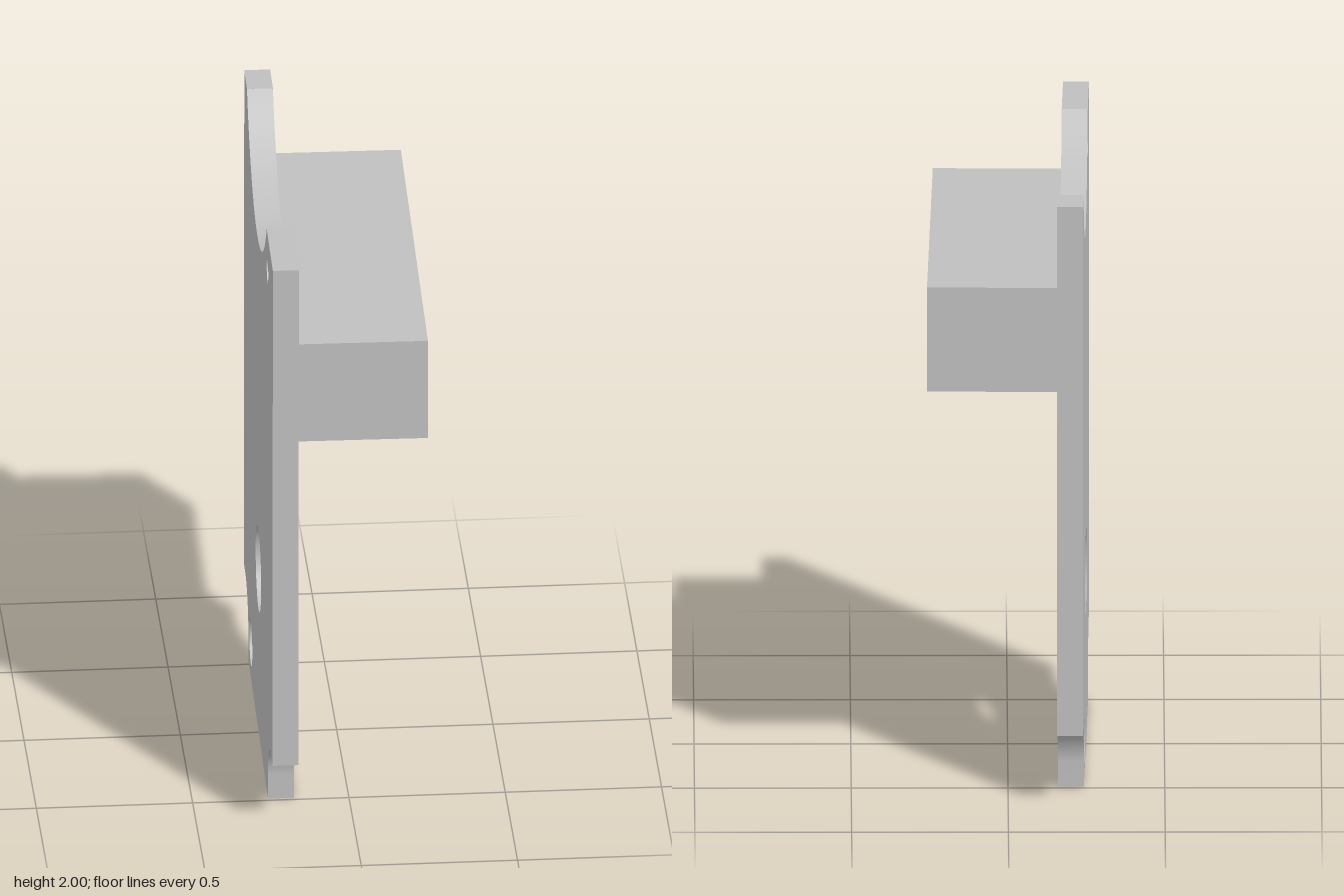
import * as THREE from 'three';
import { toCreasedNormals } from 'three/addons/utils/BufferGeometryUtils.js';

const THICKNESS = 0.083;

// Plate outline drawn with its horizontal axis running towards the back (-z)
function plateShape() {
  const s = new THREE.Shape();
  s.moveTo(-0.735, 1.99);
  s.lineTo(-0.724, 0.232);
  // front lower corner notch
  s.lineTo(-0.635, 0.231);
  s.absarc(-0.635, 0.088, 0.143, Math.PI / 2, 0, true);
  s.lineTo(-0.491, 0.004);
  // back lower corner notch
  s.lineTo(0.507, 0.012);
  s.lineTo(0.507, 0.09);
  s.absarc(0.662, 0.09, 0.155, Math.PI, Math.PI / 2, true);
  s.lineTo(0.733, 0.246);
  s.lineTo(0.72, 2.0);
  // wide scoop in the top edge
  s.lineTo(0.582, 2.0);
  const cx = 0.076, cy = 2.35;
  s.absarc(cx, cy, 0.6155, Math.atan2(2.0 - cy, 0.582 - cx), Math.atan2(1.99 - cy, -0.423 - cx), true);
  s.closePath();

  // round through-holes: [along, height, radius]
  for (const [u, y, r] of [[0, 0.582, 0.14], [0.386, 0.135, 0.077], [-0.463, 1.862, 0.042]]) {
    const hole = new THREE.Path();
    hole.absarc(u, y, r, 0, Math.PI * 2, false);
    s.holes.push(hole);
  }
  return s;
}

export function createModel() {
  const grey = new THREE.MeshStandardMaterial({ color: 0xbfbfbf });
  grey.name = 'plain grey';

  // Upright plate
  const plateGeo = new THREE.ExtrudeGeometry(plateShape(), { depth: THICKNESS, bevelEnabled: false, curveSegments: 32 });
  plateGeo.rotateY(Math.PI / 2);
  plateGeo.translate(-0.25, 0, 0);
  const plate = new THREE.Mesh(toCreasedNormals(plateGeo, 0.5), grey);
  plate.name = 'plate';

  // Block standing out from the plate
  const block = new THREE.Mesh(new THREE.BoxGeometry(0.416, 0.345, 1.384), grey);
  block.name = 'crossBlock';
  block.position.set(0.04, 1.543, 0.007);
  block.rotation.x = 0.007;

  const body = new THREE.Group();
  body.name = 'bracket';
  body.add(plate, block);
  body.rotation.y = -0.016; // slight turn of the whole bracket

  const model = new THREE.Group();
  model.name = 'mountingBracket';
  model.add(body);
  return model;
}
